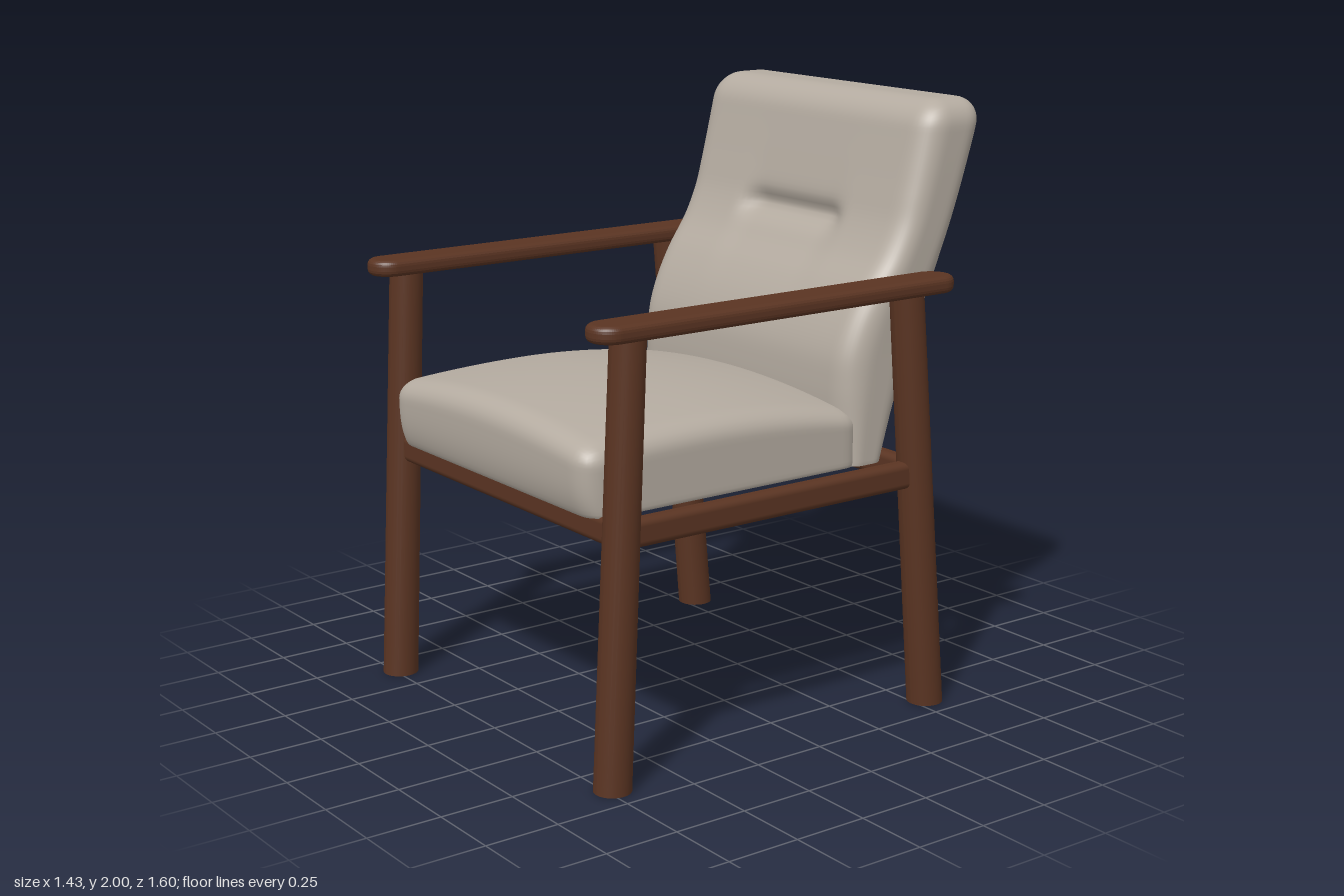
import * as THREE from 'three';
import { mergeVertices } from 'three/addons/utils/BufferGeometryUtils.js';
import { RoundedBoxGeometry } from 'three/addons/geometries/RoundedBoxGeometry.js';

const wood = new THREE.MeshStandardMaterial({ color: 0x5a3422 });
wood.name = 'walnut wood';
const fabric = new THREE.MeshStandardMaterial({ color: 0xb4aba0 });
fabric.name = 'beige fabric';

function part(name, geometry, material) {
  const mesh = new THREE.Mesh(geometry, material);
  mesh.name = name;
  return mesh;
}

// Finely divided rounded box, reshaped by a rule, with smooth normals
function cushion(size, radius, segments, warp) {
  let g = new THREE.BoxGeometry(...size, ...segments);
  g.deleteAttribute('uv');
  g.deleteAttribute('normal');
  const pos = g.attributes.position;
  const inner = new THREE.Vector3(...size).multiplyScalar(0.5).subScalar(radius);
  const v = new THREE.Vector3();
  const core = new THREE.Vector3();
  for (let i = 0; i < pos.count; i++) {
    v.fromBufferAttribute(pos, i);
    core.copy(v).clamp(inner.clone().negate(), inner);
    v.sub(core).normalize().multiplyScalar(radius).add(core);
    warp(v);
    pos.setXYZ(i, v.x, v.y, v.z);
  }
  g = mergeVertices(g, 1e-5);
  g.computeVertexNormals();
  return g;
}

// Seat: crowned top, flat underside
function seatGeometry() {
  const bottom = 0.84;
  return cushion([1.15, 0.34, 1.09], 0.075, [48, 18, 48], (v) => {
    v.y = Math.max(v.y + 0.95, bottom);
    v.z += 0.23;
    const lift = (v.y - bottom) / 0.28;
    const dz = v.z - 0.3;
    const drop = 0.045 * (v.x / 0.575) ** 2 + (dz > 0 ? 0.1 : 0.17) * dz * dz;
    v.y -= drop * lift;
    // nose tucks in slightly at the bottom
    if (v.z > 0.6) v.z -= 0.03 * (1 - lift) ** 4 * ((v.z - 0.6) / 0.175);
  });
}

// Backrest: front and back surfaces follow a side profile, with a tufted crease
function backGeometry() {
  const heights = [0.84, 1.0, 1.1, 1.2, 1.3, 1.4, 1.5, 1.6, 1.7, 1.8, 1.9, 2.0];
  const frontBack = [
    -0.245, -0.415, -0.24, -0.47, -0.24, -0.508, -0.25, -0.547,
    -0.285, -0.587, -0.34, -0.627, -0.412, -0.663, -0.462, -0.70,
    -0.492, -0.735, -0.518, -0.767, -0.542, -0.798, -0.565, -0.822,
  ];
  const profile = new THREE.CubicInterpolant(heights, frontBack, 2, new Float32Array(2));
  const depth = 0.26;
  return cushion([1.16, 1.25, depth], 0.09, [56, 72, 16], (v) => {
    v.y = Math.max(v.y + 1.375, 0.84);
    const [front, back] = profile.evaluate(v.y);
    const s = v.z / depth + 0.5;
    v.z = back + (front - back) * s;
    v.x *= 1 + 0.026 * THREE.MathUtils.smoothstep(v.y, 1.1, 1.9);
    const span = 1 - THREE.MathUtils.smoothstep(Math.abs(v.x), 0.17, 0.3);
    const crease = 0.04 * Math.exp(-(((v.y - 1.585) / 0.04) ** 2));
    const hollow = 0.012 * Math.exp(-(((v.y - 1.55) / 0.15) ** 2));
    v.z -= (crease + hollow) * span * Math.max(0, s * 2 - 1);
  });
}

// Round leg leaning along z, with level ends
function legGeometry(zBottom, zTop, height) {
  const g = new THREE.CylinderGeometry(0.056, 0.06, height, 28, 1);
  g.translate(0, height / 2, 0);
  const p = g.attributes.position;
  for (let i = 0; i < p.count; i++) {
    p.setZ(i, p.getZ(i) + zBottom + (zTop - zBottom) * (p.getY(i) / height));
  }
  g.computeVertexNormals();
  return g;
}

// Flat armrest with half-round ends and softened edges
function armGeometry() {
  const r = 0.05, bevel = 0.02, half = 0.7 - r - bevel;
  const shape = new THREE.Shape();
  shape.absarc(0, half, r, 0, Math.PI, false);
  shape.absarc(0, -half, r, Math.PI, Math.PI * 2, false);
  shape.closePath();
  const g = new THREE.ExtrudeGeometry(shape, {
    depth: 0.015, bevelThickness: 0.02, bevelSize: bevel, bevelSegments: 4, curveSegments: 16,
  });
  g.rotateX(-Math.PI / 2);
  g.translate(0, 1.42, 0.1);
  return g;
}

export function createModel() {
  const chair = new THREE.Group();
  chair.name = 'armchair';

  chair.add(part('seatCushion', seatGeometry(), fabric));
  chair.add(part('backCushion', backGeometry(), fabric));

  // Legs, armrest and side rail on each side
  for (const [side, sign] of [['left', 1], ['right', -1]]) {
    const frame = new THREE.Group();
    frame.name = side + 'Frame';
    frame.position.x = 0.643 * sign;
    frame.add(part('frontLeg', legGeometry(0.73, 0.663, 1.42), wood));
    frame.add(part('backLeg', legGeometry(-0.545, -0.422, 1.42), wood));
    frame.add(part('armrest', armGeometry(), wood));
    const rail = part('sideRail', new RoundedBoxGeometry(0.06, 0.09, 1.15, 4, 0.022), wood);
    rail.position.set(0, 0.805, 0.11);
    frame.add(rail);
    chair.add(frame);
  }

  // Cross rails
  for (const [name, z] of [['frontRail', 0.69], ['backRail', -0.474]]) {
    const rail = part(name, new RoundedBoxGeometry(1.27, 0.09, 0.06, 4, 0.022), wood);
    rail.position.set(0, 0.805, z);
    chair.add(rail);
  }
  return chair;
}
